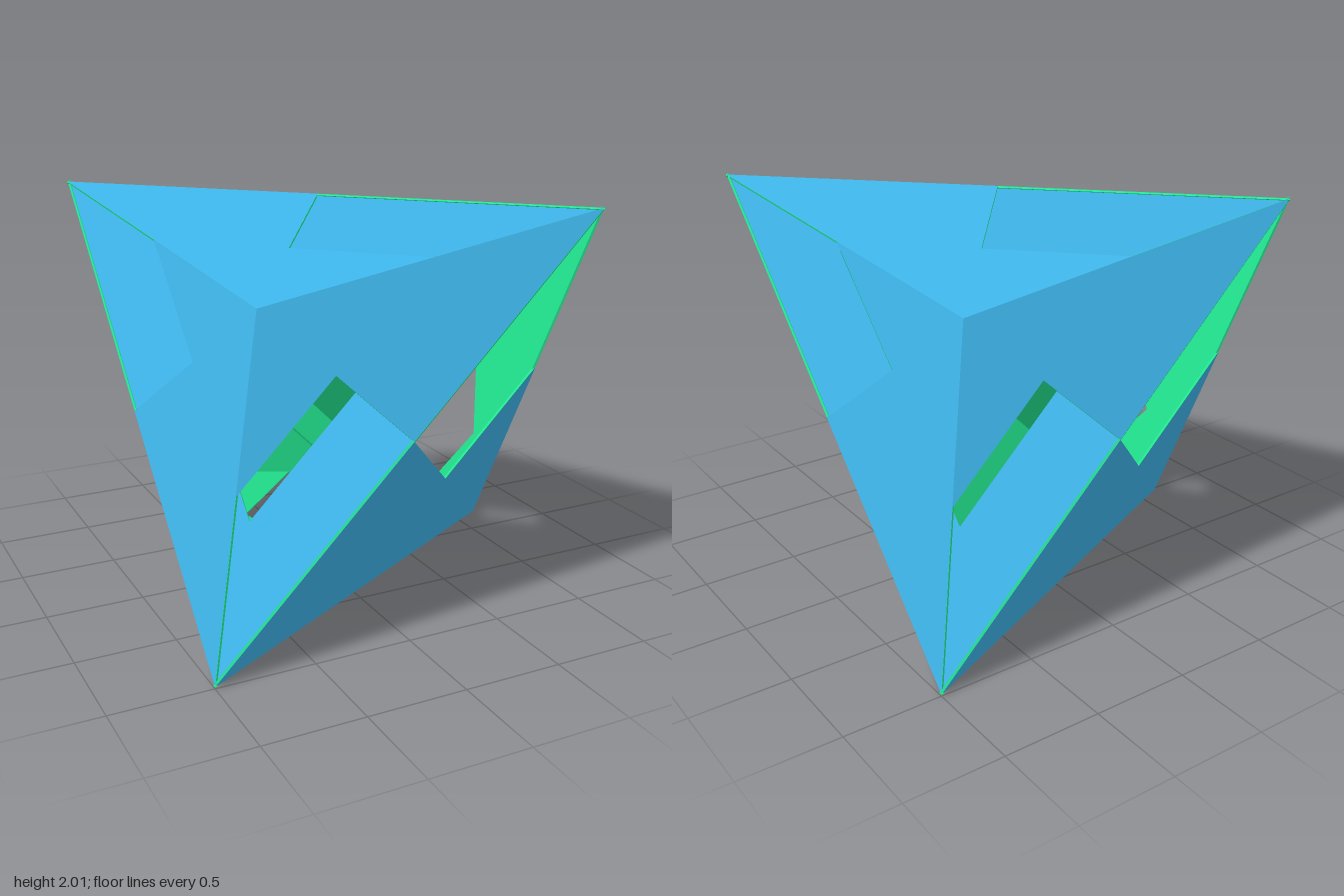
import * as THREE from 'three';

const BLUE = new THREE.MeshStandardMaterial({ color: 0x3db2e6 });
const GREEN = new THREE.MeshStandardMaterial({ color: 0x22e68f });
const THICKNESS = 0.012;

const v = (x, y, z) => new THREE.Vector3(x, y, z);

// Flat plate through coplanar points: blue outer skin on a thin green backing
function plate(name, points, holePoints) {
  const origin = points[0];
  const u = points[1].clone().sub(origin).normalize();
  const n = u.clone().cross(points[2].clone().sub(origin)).normalize();
  if (n.dot(origin) < 0) n.negate();
  const w = n.clone().cross(u);
  const flat = (p) => {
    const d = p.clone().sub(origin);
    return new THREE.Vector2(d.dot(u), d.dot(w));
  };

  const shape = new THREE.Shape(points.map(flat));
  if (holePoints) shape.holes.push(new THREE.Path(holePoints.map(flat)));

  const frame = new THREE.Matrix4().makeBasis(u, w, n).setPosition(origin);
  const skin = new THREE.ShapeGeometry(shape).applyMatrix4(frame);
  const backing = new THREE.ExtrudeGeometry(shape, { depth: THICKNESS - 0.001, bevelEnabled: false })
    .translate(0, 0, -THICKNESS)
    .applyMatrix4(frame);

  return (matrix) => {
    const group = new THREE.Group();
    group.name = name;
    const outer = new THREE.Mesh(skin, BLUE);
    outer.name = name + 'Skin';
    const inner = new THREE.Mesh(backing, GREEN);
    inner.name = name + 'Backing';
    group.add(outer, inner);
    group.applyMatrix4(matrix);
    return group;
  };
}

export function createModel() {
  const model = new THREE.Group();
  model.name = 'openTriakisTetrahedron';
  const body = new THREE.Group();
  body.name = 'body';
  body.position.y = 1;
  model.add(body);

  // Raised vane: corner, apex, edge midpoint, notch, middle of the long edge
  const vane = plate('vane', [
    v(-1, -1, 1), v(0.6, -0.6, 0.6), v(0.8, 0.2, 0.8), v(0.3, -0.3, 0.8), v(0, 0, 1),
  ]);

  // Inner tetrahedron face with a triangular opening
  const h = 0.69, k = 2 * h - 1;
  const frame = plate('innerFrame',
    [v(1, 1, 1), v(-1, -1, 1), v(1, -1, -1)],
    [v(h, k, h), v(-k, -h, h), v(h, -h, -k)]);

  // Rotations of the tetrahedron: even sign changes times cyclic axis swaps
  const signs = [[1, 1, 1], [1, -1, -1], [-1, 1, -1], [-1, -1, 1]];
  for (const s of signs) {
    const flip = new THREE.Matrix4().makeScale(...s);
    body.add(frame(flip));
    for (let i = 0; i < 3; i++) {
      const turn = new THREE.Matrix4().makeRotationAxis(v(1, 1, 1).normalize(), i * Math.PI * 2 / 3);
      body.add(vane(flip.clone().multiply(turn)));
    }
  }
  return model;
}
